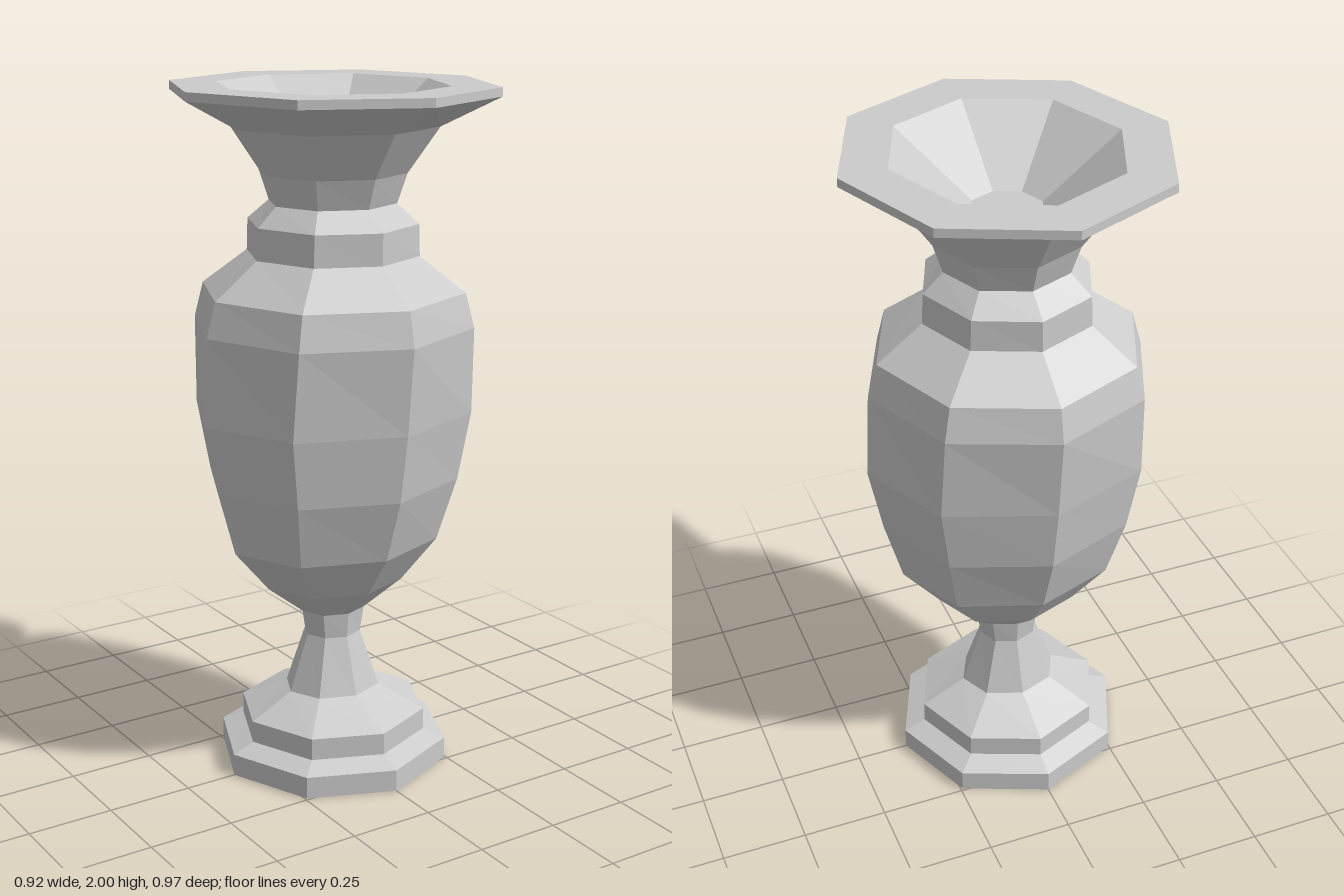
import * as THREE from 'three';

const SIDES = 8;

// Octagonal ring stack; each ring is [half width in x, half depth in z, height]
function ringStack(name, rings, material) {
  const geometry = new THREE.LatheGeometry(
    rings.map(([rx, , y]) => new THREE.Vector2(rx, y)), SIDES);
  const pos = geometry.attributes.position;
  for (let i = 0; i < pos.count; i++) {
    const [rx, rz] = rings[i % rings.length];
    if (rx > 0) pos.setZ(i, pos.getZ(i) * rz / rx);
  }
  geometry.computeVertexNormals();
  const mesh = new THREE.Mesh(geometry, material);
  mesh.name = name;
  return mesh;
}

export function createModel() {
  const group = new THREE.Group();
  group.name = 'urn';
  const material = new THREE.MeshStandardMaterial({ color: 0xcccccc, flatShading: true });

  // Rings shared by neighbouring parts
  const footTop = [0.148, 0.13, 0.22];
  const stemTop = [0.10, 0.087, 0.465];
  const shoulder = [0.248, 0.253, 1.53];
  const neckBase = [0.185, 0.183, 1.675];
  const flareTop = [0.46, 0.485, 1.975];

  const parts = {
    // Stepped plinth, closed underneath
    foot: [[0, 0, 0], [0.345, 0.343, 0], [0.345, 0.343, 0.065],
      [0.28, 0.278, 0.09], [0.28, 0.278, 0.155], footTop],
    stem: [footTop, [0.087, 0.08, 0.39], stemTop],
    // Bulging belly and shoulder
    body: [stemTop, [0.22, 0.19, 0.56], [0.33, 0.283, 0.69], [0.383, 0.348, 0.88],
      [0.423, 0.38, 1.08], [0.41, 0.405, 1.33], [0.381, 0.384, 1.43], shoulder],
    collar: [shoulder, [0.243, 0.253, 1.62], neckBase],
    neck: [neckBase, [0.212, 0.214, 1.76], [0.302, 0.304, 1.89], flareTop],
    // Flat lip and the shallow hollow inside it
    rim: [flareTop, [0.46, 0.485, 2], [0.325, 0.342, 2]],
    bowl: [[0.325, 0.342, 2], [0.102, 0.107, 1.83], [0, 0, 1.83]],
  };
  for (const [name, rings] of Object.entries(parts)) {
    group.add(ringStack(name, rings, material));
  }
  return group;
}
